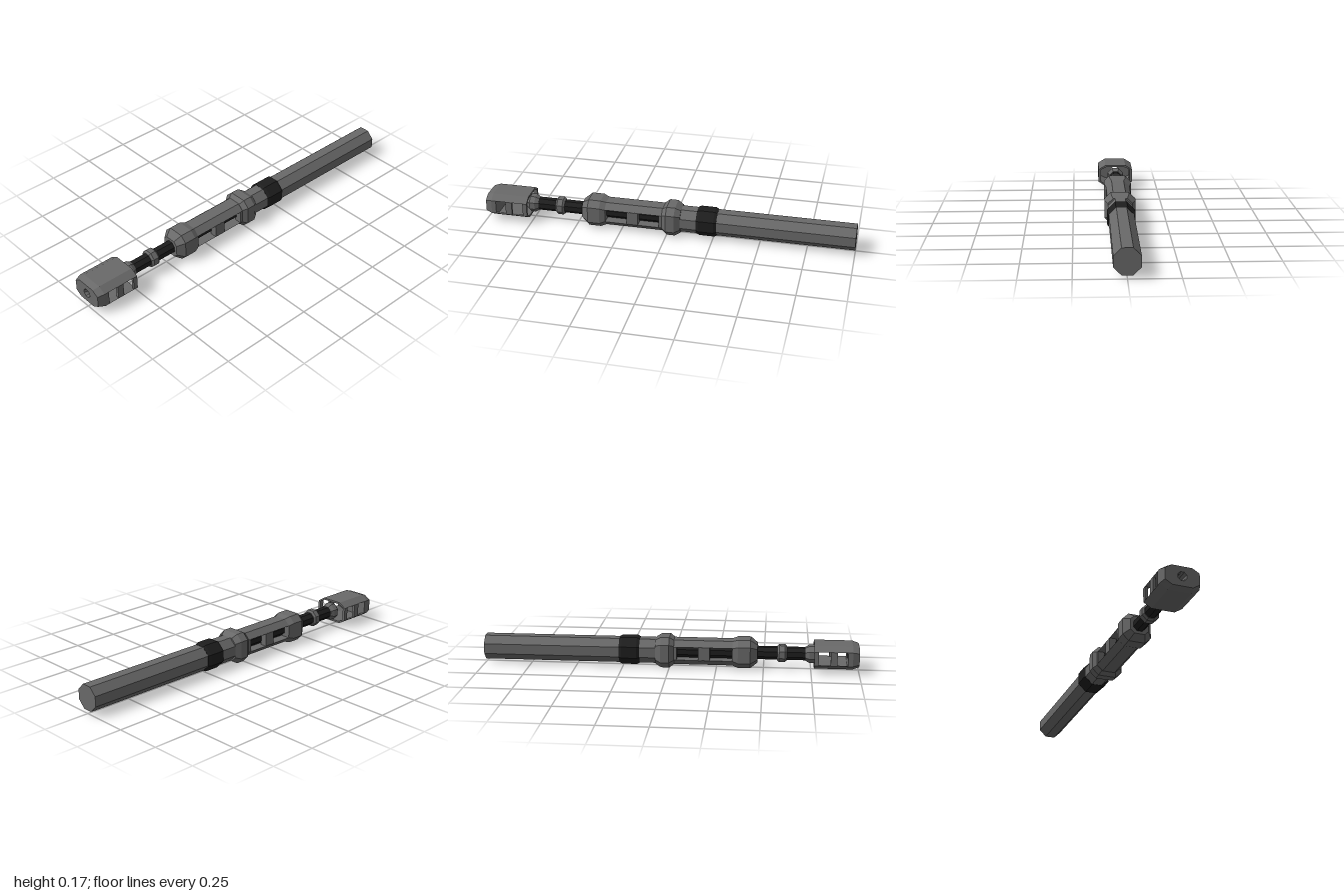
import * as THREE from 'three';

const steel = new THREE.MeshStandardMaterial({ color: 0x696969, flatShading: true });
steel.name = 'grey steel';
const black = new THREE.MeshStandardMaterial({ color: 0x1e1e1e, flatShading: true });
black.name = 'black steel';

const REG = 0.4142; // corner position of a regular octagon relative to its half width

// Octagon with half sizes hx, hy and corners at cx, cy, counter-clockwise seen from +z
function octagon([z, hx, hy = hx, cx = hx * REG, cy = hy * REG]) {
  return [[hx, -cy], [hx, cy], [cx, hy], [-cx, hy], [-hx, cy], [-hx, -cy], [-cx, -hy], [cx, -hy]]
    .map(([x, y]) => [x, y, z]);
}

// Faceted loft through octagonal sections ordered along z
function loft(sections, capped = true) {
  const rings = sections.map(octagon);
  const pos = [];
  const tri = (a, b, c) => pos.push(...a, ...b, ...c);
  for (let s = 0; s < rings.length - 1; s++) {
    const p = rings[s], q = rings[s + 1];
    for (let i = 0; i < 8; i++) {
      const j = (i + 1) % 8;
      tri(p[i], p[j], q[j]);
      tri(p[i], q[j], q[i]);
    }
  }
  if (capped) {
    const first = rings[0], last = rings[rings.length - 1];
    for (let i = 1; i < 7; i++) {
      tri(first[0], first[i + 1], first[i]);
      tri(last[0], last[i], last[i + 1]);
    }
  }
  const g = new THREE.BufferGeometry();
  g.setAttribute('position', new THREE.Float32BufferAttribute(pos, 3));
  g.computeVertexNormals();
  return g;
}

// Outline extruded from z0 to z1
function extrude(points, z0, z1) {
  const shape = new THREE.Shape(points.map(([x, y]) => new THREE.Vector2(x, y)));
  return new THREE.ExtrudeGeometry(shape, { depth: z1 - z0, bevelEnabled: false }).translate(0, 0, z0);
}

export function createModel() {
  const model = new THREE.Group();
  const body = new THREE.Group();
  body.name = 'barrelAssembly';
  body.position.y = 0.0825;
  model.add(body);

  const add = (name, geometry, material = steel) => {
    const mesh = new THREE.Mesh(geometry, material);
    mesh.name = name;
    body.add(mesh);
    return mesh;
  };

  // Same outline above and, turned half round, below
  const addHalves = (name, points, z0, z1) => {
    add(name + 'Top', extrude(points, z0, z1));
    add(name + 'Bottom', extrude(points, z0, z1)).rotation.z = Math.PI;
  };

  // Upright posts on both sides
  const addPosts = (name, x0, x1, h, spans) => {
    for (const [z0, z1] of spans) {
      for (const side of [1, -1]) {
        const g = new THREE.BoxGeometry(x1 - x0, h, z1 - z0);
        add(name, g.translate(side * (x0 + x1) / 2, 0, (z0 + z1) / 2));
      }
    }
  };

  // Long rear tube and its black band
  add('rearTube', loft([[-1, 0.065], [0.03, 0.065]]));
  add('blackBand', loft([[-0.27, 0.066], [-0.255, 0.073], [-0.175, 0.073], [-0.16, 0.066]]), black);

  // Raised ring behind the sleeve
  add('rearRing', loft([
    [-0.075, 0.065, 0.065, 0.038, 0.038], [-0.045, 0.0825, 0.0825, 0.048, 0.048],
    [0, 0.0825, 0.0825, 0.048, 0.048], [0.025, 0.065, 0.065, 0.038, 0.038],
  ]));

  // Slotted sleeve: upper and lower rails joined by side posts
  addHalves('sleeveRail', [[0.066, 0.035], [0.034, 0.066], [-0.034, 0.066], [-0.066, 0.035]], 0.02, 0.36);
  addPosts('sleevePost', 0.028, 0.0655, 0.072, [[0.02, 0.04], [0.155, 0.215], [0.335, 0.36]]);

  // Raised ring tapering towards the thin barrel
  add('frontRing', loft([
    [0.335, 0.066, 0.066, 0.034, 0.034], [0.365, 0.076, 0.076, 0.044, 0.044],
    [0.43, 0.076, 0.076, 0.044, 0.044], [0.468, 0.048, 0.048, 0.028, 0.028],
  ]));

  // Thin barrel with a collar and the muzzle cone
  add('innerBarrel', loft([[0.02, 0.033], [0.73, 0.033]]), black);
  add('barrelCollar', loft([[0.572, 0.036], [0.582, 0.045], [0.612, 0.045], [0.622, 0.036]]));
  add('muzzleCone', loft([[0.72, 0.034], [0.74, 0.045], [0.768, 0.045], [0.785, 0.03]]));

  // Hollow muzzle brake: two shells, side posts and a bored front plate
  addHalves('brakeShell', [
    [0.1, 0.037], [0.06, 0.0625], [-0.06, 0.0625], [-0.1, 0.037],
    [-0.085, 0.037], [-0.055, 0.052], [0.055, 0.052], [0.085, 0.037],
  ], 0.765, 0.945);
  addPosts('brakePost', 0.085, 0.1, 0.074, [[0.765, 0.788], [0.85, 0.885]]);
  add('brakeFrontPlate', loft([
    [0.94, 0.018], [0.94, 0.1, 0.0625, 0.06, 0.037], [0.965, 0.1, 0.0625, 0.06, 0.037],
    [1, 0.088, 0.052, 0.052, 0.03], [1, 0.023], [0.99, 0.018], [0.94, 0.018],
  ], false));

  return model;
}
